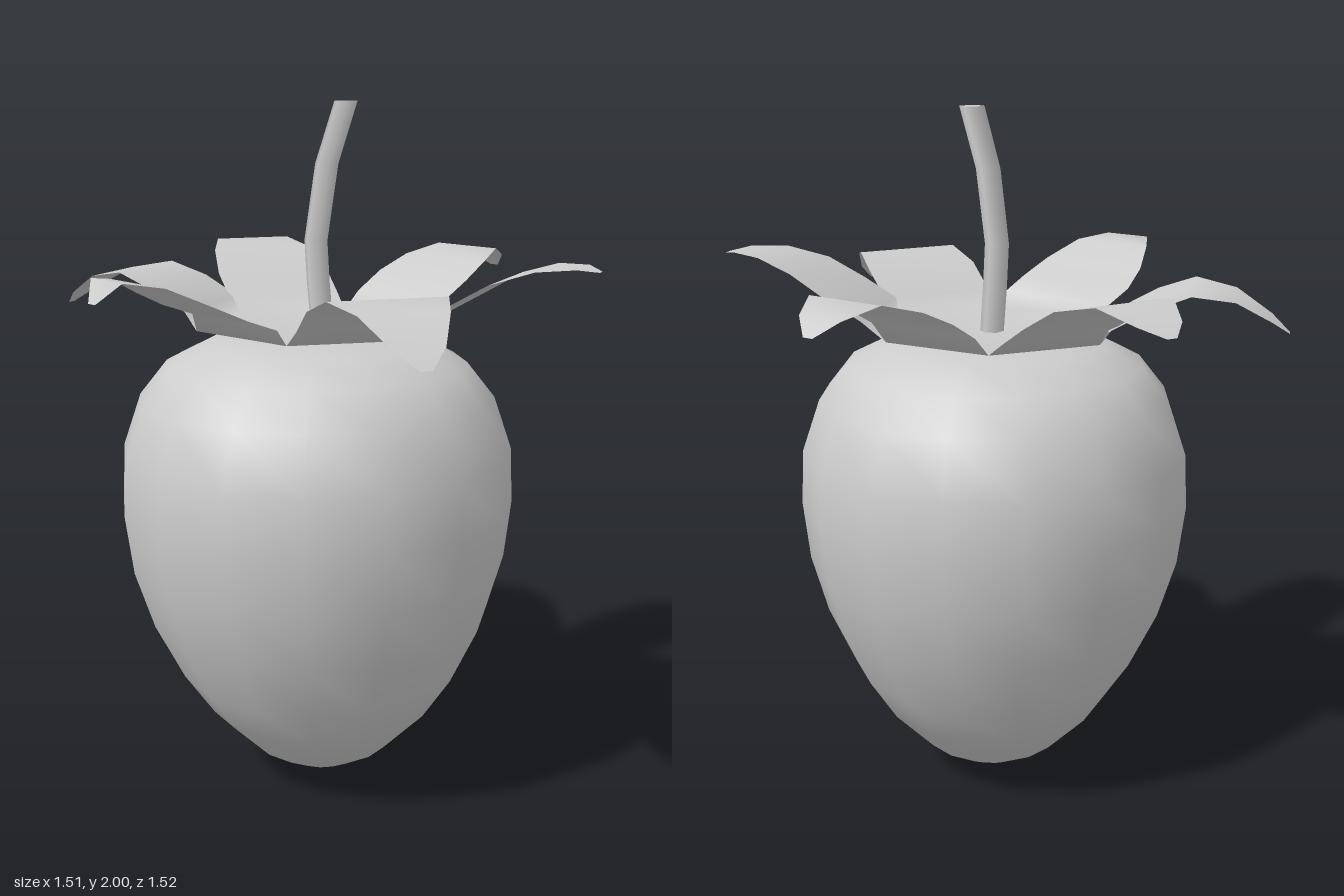
import * as THREE from 'three';

const grey = new THREE.MeshStandardMaterial({ color: 0xcccccc });
grey.name = 'plainGrey';
const greyLeaf = grey;
greyLeaf.side = THREE.DoubleSide;

function addMesh(group, name, geometry) {
  const mesh = new THREE.Mesh(geometry, grey);
  mesh.name = name;
  group.add(mesh);
}

// Plump 16-sided body, leaning slightly to the front left as it rises
function fruitGeometry() {
  const profile = [
    [0, 0.005], [0.1, 0.035], [0.21, 0.1], [0.335, 0.23], [0.42, 0.36], [0.5, 0.53],
    [0.55, 0.7], [0.57, 0.87], [0.562, 1.03], [0.51, 1.18], [0.43, 1.28],
    [0.31, 1.34], [0.15, 1.362], [0, 1.362],
  ].map(([r, y]) => new THREE.Vector2(r, y));
  const geo = new THREE.LatheGeometry(profile, 16);
  const p = geo.attributes.position;
  for (let i = 0; i < p.count; i++) {
    const lean = Math.min(1, p.getY(i) / 0.8);
    p.setX(i, p.getX(i) + 0.014 * lean);
    p.setZ(i, p.getZ(i) + 0.034 * lean);
  }
  return geo;
}

// Six-sided stalk whose level rings follow a bend towards the back
function stemGeometry() {
  const path = [[1.37, -0.005], [1.5, 0.01], [1.62, 0.019], [1.83, -0.022], [2, -0.095]];
  const geo = new THREE.CylinderGeometry(0.034, 0.034, 1, 6, path.length - 1);
  const p = geo.attributes.position;
  for (let i = 0; i < p.count; i++) {
    const [y, z] = path[Math.round((p.getY(i) + 0.5) * (path.length - 1))];
    p.setXYZ(i, p.getX(i) - 0.004, y, p.getZ(i) + z);
  }
  return geo;
}

// Leafy cap: a flat middle with six leaves, each spanning two notches
function calyxGeometry() {
  const baseY = 1.375;
  const notches = [[0.34, -0.01], [0.18, 0.29], [-0.17, 0.32], [-0.35, 0.02], [-0.18, -0.26], [0.14, -0.3]];
  const rows = [0.42, 0.55, 0.68, 0.82, 0.94, 1];
  const widths = [0.175, 0.178, 0.16, 0.118, 0.068, 0.015];
  // tip x, tip z, width scale, height of each row
  const leaves = [
    [0.75, 0.36, 1, [1.42, 1.49, 1.53, 1.51, 1.445, 1.4]],
    [-0.02, 0.757, 1.08, [1.42, 1.455, 1.5, 1.55, 1.565, 1.51]],
    [-0.75, 0.36, 1, [1.42, 1.48, 1.52, 1.5, 1.44, 1.4]],
    [-0.75, -0.31, 1, [1.42, 1.48, 1.54, 1.565, 1.53, 1.505]],
    [-0.01, -0.76, 1, [1.43, 1.485, 1.53, 1.56, 1.53, 1.49]],
    [0.735, -0.31, 1, [1.42, 1.48, 1.54, 1.575, 1.58, 1.57]],
  ];
  const pos = [0, baseY, 0];
  const index = [];
  notches.forEach(([x, z]) => pos.push(x, baseY, z));
  leaves.forEach(([tx, tz, scale, heights], k) => {
    const length = Math.hypot(tx, tz);
    const sx = -tz / length, sz = tx / length;
    let a = 1 + k, b = 1 + (k + 1) % 6;
    index.push(0, b, a);
    rows.forEach((s, i) => {
      const w = widths[i] * scale;
      const n = pos.length / 3;
      pos.push(tx * s - sx * w, heights[i], tz * s - sz * w);
      pos.push(tx * s + sx * w, heights[i], tz * s + sz * w);
      index.push(a, b, n, b, n + 1, n);
      a = n;
      b = n + 1;
    });
  });
  const geo = new THREE.BufferGeometry();
  geo.setAttribute('position', new THREE.Float32BufferAttribute(pos, 3));
  geo.setIndex(index);
  geo.computeVertexNormals();
  return geo;
}

export function createModel() {
  const group = new THREE.Group();
  group.name = 'strawberry';
  addMesh(group, 'fruit', fruitGeometry());
  addMesh(group, 'leafCap', calyxGeometry());
  addMesh(group, 'stem', stemGeometry());
  return group;
}
